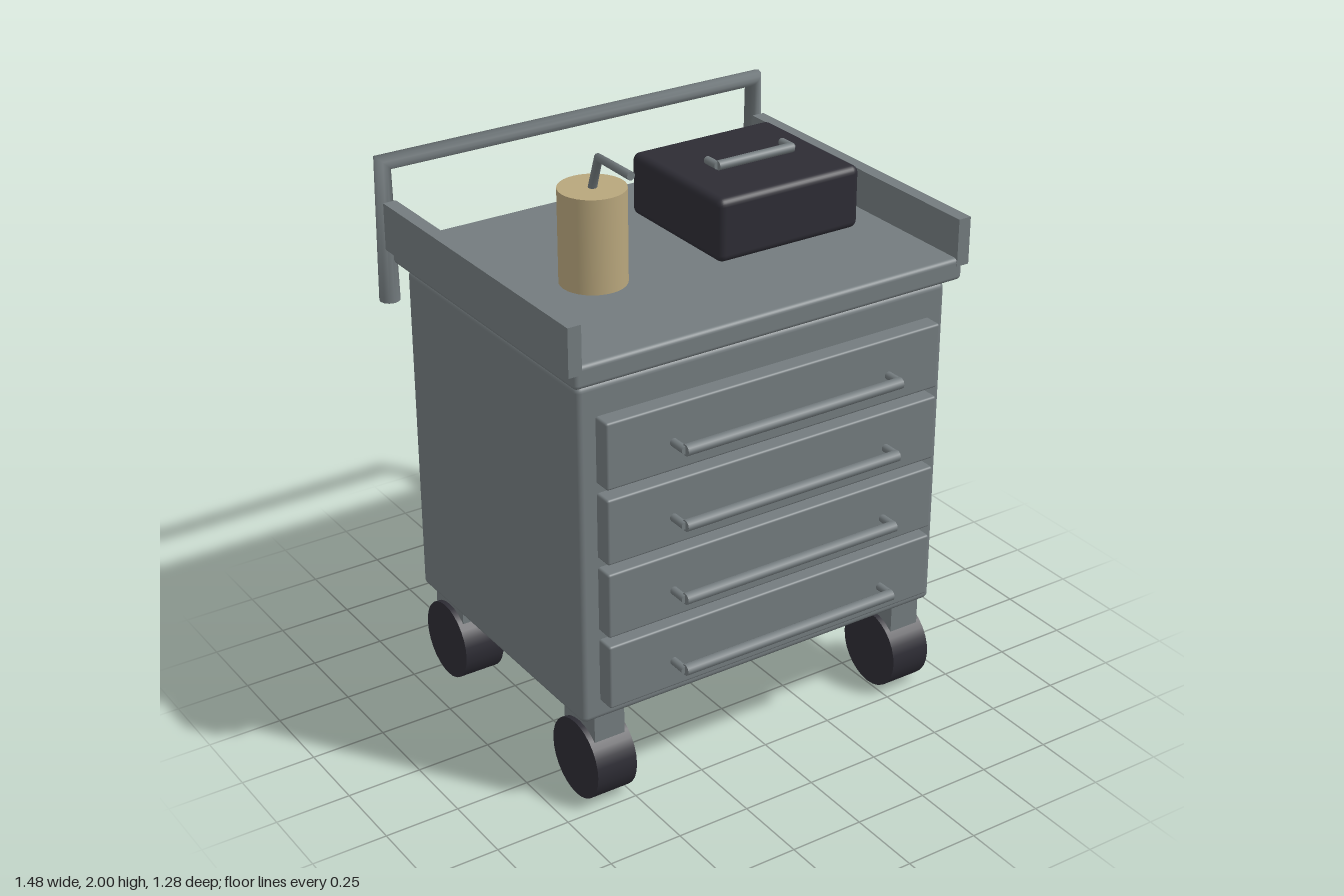
import * as THREE from 'three';
import { RoundedBoxGeometry } from 'three/addons/geometries/RoundedBoxGeometry.js';

const steel = new THREE.MeshStandardMaterial({ color: 0x737b7e });
steel.name = 'steelGrey';
const black = new THREE.MeshStandardMaterial({ color: 0x2d2c34 });
black.name = 'charcoal';
const tan = new THREE.MeshStandardMaterial({ color: 0xb8a67c });
tan.name = 'tan';

// Straight-sided path with mitred corners, one tube segment per side
class Polyline extends THREE.Curve {
  constructor(points) {
    super();
    this.points = points.map((p) => new THREE.Vector3(...p));
  }
  getPointAt(u, target = new THREE.Vector3()) {
    const f = u * (this.points.length - 1);
    const i = Math.min(Math.floor(f), this.points.length - 2);
    return target.lerpVectors(this.points[i], this.points[i + 1], f - i);
  }
  getPoint(t, target) {
    return this.getPointAt(t, target);
  }
  getTangentAt(u, target = new THREE.Vector3()) {
    const p = this.points;
    const i = Math.round(u * (p.length - 1));
    target.set(0, 0, 0);
    if (i > 0) target.add(p[i].clone().sub(p[i - 1]).normalize());
    if (i < p.length - 1) target.add(p[i + 1].clone().sub(p[i]).normalize());
    return target.normalize();
  }
}

function add(parent, name, geometry, material, x = 0, y = 0, z = 0) {
  const mesh = new THREE.Mesh(geometry, material);
  mesh.name = name;
  mesh.position.set(x, y, z);
  parent.add(mesh);
  return mesh;
}

function roundedBox(parent, name, w, h, d, radius, material, x, y, z) {
  return add(parent, name, new RoundedBoxGeometry(w, h, d, 3, radius), material, x, y, z);
}

// Bent tube with capped ends
function bentTube(parent, name, points, radius, sides) {
  const tube = new THREE.Group();
  tube.name = name;
  const path = new Polyline(points);
  add(tube, name + 'Tube', new THREE.TubeGeometry(path, points.length - 1, radius, sides), steel);
  for (const u of [0, 1]) {
    const end = path.getPointAt(u);
    const out = path.getTangentAt(u).multiplyScalar(u ? 1 : -1);
    const cap = add(tube, name + 'Cap', new THREE.CircleGeometry(radius, sides), steel, end.x, end.y, end.z);
    cap.quaternion.setFromUnitVectors(new THREE.Vector3(0, 0, 1), out);
  }
  parent.add(tube);
}

// Bar along x with two short posts running back from it
function pullHandle(parent, name, x, y, z, halfLength, barRadius, postRadius, postLength) {
  const handle = new THREE.Group();
  handle.name = name;
  handle.position.set(x, y, z);
  const bar = add(handle, 'handleBar', new THREE.CylinderGeometry(barRadius, barRadius, halfLength * 2, 10), steel);
  bar.rotation.z = Math.PI / 2;
  for (const side of [-1, 1]) {
    const post = add(handle, 'handlePost',
      new THREE.CylinderGeometry(postRadius, postRadius, postLength, 10), steel,
      side * halfLength, 0, -postLength / 2);
    post.rotation.x = Math.PI / 2;
  }
  parent.add(handle);
}

export function createModel() {
  const cart = new THREE.Group();
  cart.name = 'toolCart';

  // Cabinet
  roundedBox(cart, 'cabinet', 1.35, 1.15, 1.02, 0.02, steel, 0, 0.895, -0.03);

  // Drawers with pull handles
  for (let i = 0; i < 4; i++) {
    const y = 0.498 + i * 0.252;
    roundedBox(cart, 'drawer', 1.225, 0.22, 0.1, 0.008, steel, 0, y, 0.488);
    pullHandle(cart, 'drawerHandle', 0, y, 0.622, 0.396, 0.019, 0.013, 0.062);
  }

  // Worktop with raised side rails
  roundedBox(cart, 'worktop', 1.41, 0.075, 1.095, 0.015, steel, 0, 1.523, -0.026);
  for (const side of [-1, 1]) {
    add(cart, 'sideRail', new THREE.BoxGeometry(0.045, 0.157, 1.098), steel, side * 0.703, 1.613, -0.026);
  }

  // Push handle at the back
  const hx = 0.704, hz = -0.609;
  bentTube(cart, 'pushHandle',
    [[-hx, 1.345, hz], [-hx, 1.811, hz], [hx, 1.811, hz], [hx, 1.345, hz]], 0.034, 12);

  // Casters
  for (const x of [-0.577, 0.577]) {
    for (const z of [0.384, -0.443]) {
      const caster = new THREE.Group();
      caster.name = 'caster';
      caster.position.set(x, 0, z);
      add(caster, 'casterBracket', new THREE.BoxGeometry(0.108, 0.1, 0.18), steel, 0, 0.286, 0);
      const wheel = add(caster, 'wheel', new THREE.CylinderGeometry(0.134, 0.134, 0.142, 28), black, 0, 0.135, 0);
      wheel.rotation.z = Math.PI / 2;
      cart.add(caster);
    }
  }

  // Drink can with bent straw
  add(cart, 'cup', new THREE.CylinderGeometry(0.106, 0.106, 0.304, 32), tan, -0.362, 1.731, 0.075);
  bentTube(cart, 'straw',
    [[-0.362, 1.87, 0.073], [-0.362, 1.988, 0.114], [-0.362, 1.988, 0.29]], 0.014, 10);

  // Tool case with handle
  roundedBox(cart, 'toolCase', 0.535, 0.21, 0.502, 0.025, black, 0.305, 1.67, -0.087);
  pullHandle(cart, 'caseHandle', 0.302, 1.803, -0.027, 0.143, 0.016, 0.013, 0.058);

  return cart;
}
